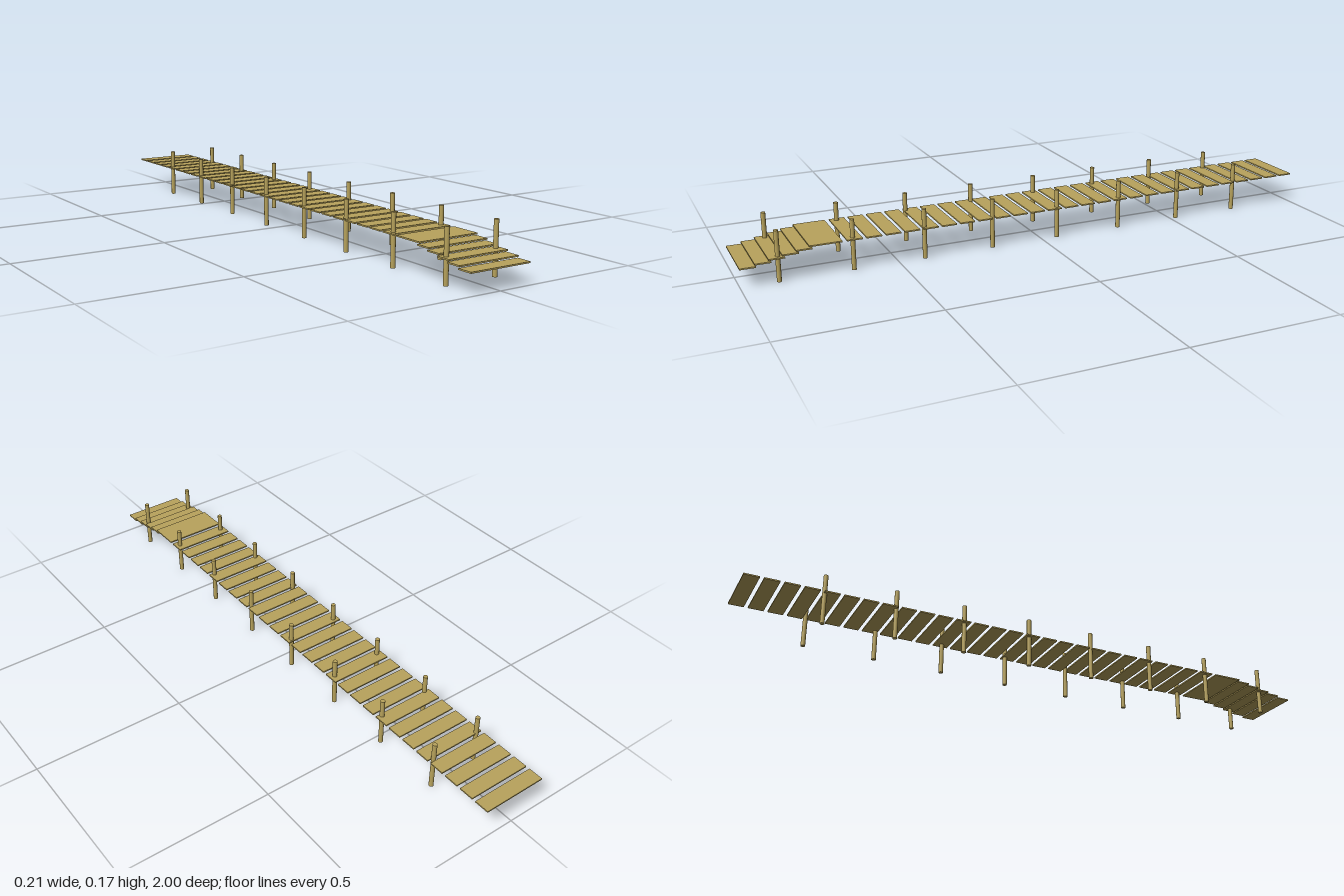
import * as THREE from 'three';

const WIDTH = 0.214, THICK = 0.0045, DECK_Y = 0.104;

export function createModel() {
  const model = new THREE.Group();
  model.name = 'boardwalk';
  const wood = new THREE.MeshStandardMaterial({ color: 0xb8a35c });

  // One board across the walkway, spanning zBack to zFront
  function addPlank(name, zBack, zFront, y) {
    const plank = new THREE.Mesh(new THREE.BoxGeometry(WIDTH, THICK, zFront - zBack), wood);
    plank.position.set(0, y, (zBack + zFront) / 2);
    plank.name = name;
    model.add(plank);
  }

  // Level deck with gaps between the boards
  for (let i = 0; i < 27; i++) {
    const z = -1 + i * 0.0623;
    addPlank('deckPlank', z, z + 0.0495, DECK_Y);
  }

  // Closed boards at the head of the ramp
  addPlank('landingPlank', 0.684, 0.735, DECK_Y);
  addPlank('landingPlank', 0.735, 0.787, DECK_Y);

  // Overlapping boards stepping down to the front
  const stepFronts = [0.828, 0.87, 0.912, 0.954, 1];
  stepFronts.forEach((z, i) => addPlank('stepPlank', z - 0.05, z, DECK_Y - (i + 1) * 0.0079));

  // Two rows of posts, the rows drifting slightly apart towards the back
  const postGeometry = new THREE.CylinderGeometry(0.0076, 0.0076, 0.166, 12);
  for (const [side, spacing] of [[-1, 0.2326], [1, 0.234]]) {
    for (let i = 0; i < 8; i++) {
      const post = new THREE.Mesh(postGeometry, wood);
      post.position.set(side * 0.0895, 0.083, 0.881 - i * spacing);
      post.name = side < 0 ? 'rightPost' : 'leftPost';
      model.add(post);
    }
  }
  return model;
}
